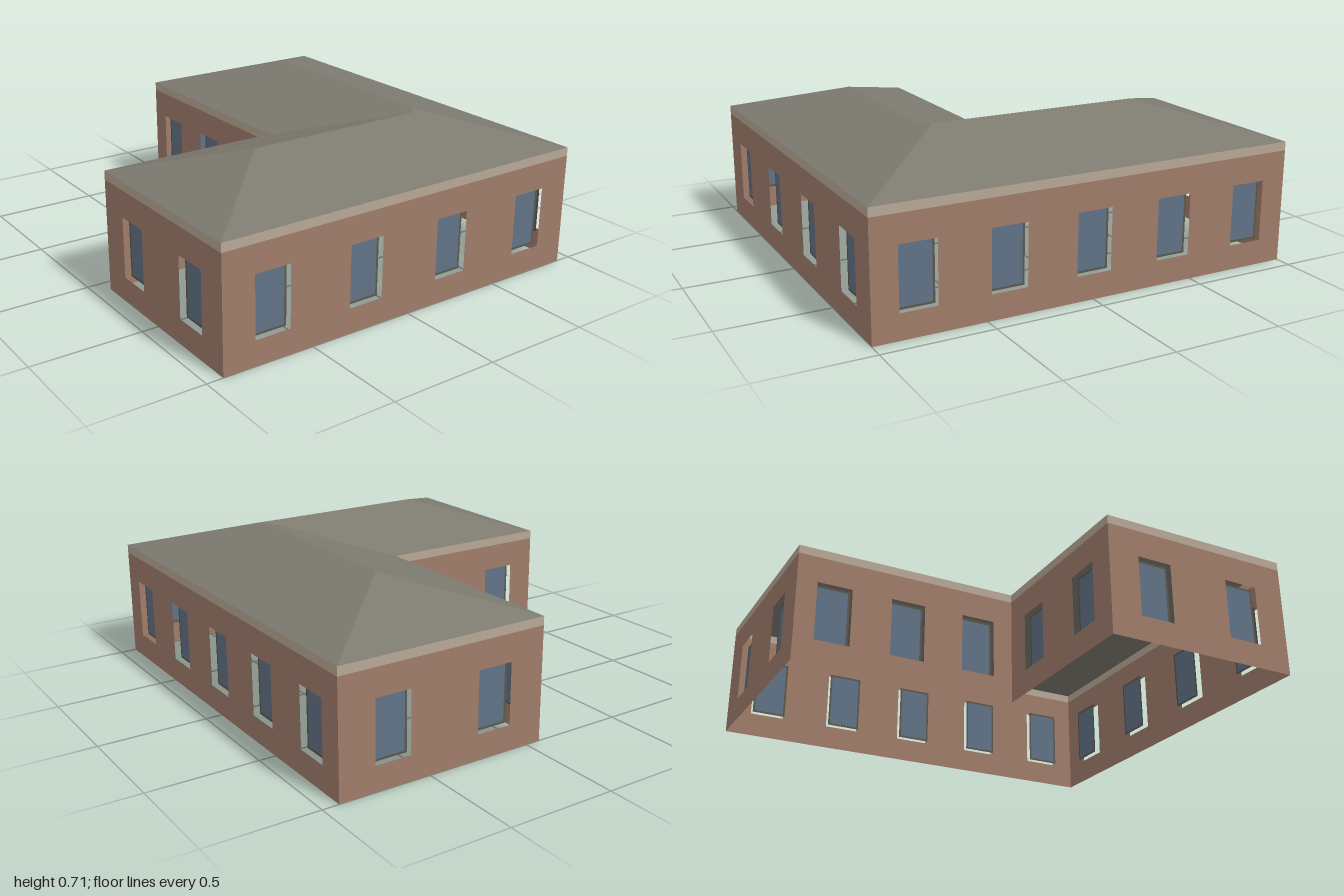
import * as THREE from 'three';

const mat = (name, color) => {
  const m = new THREE.MeshStandardMaterial({ color, side: THREE.DoubleSide });
  m.name = name;
  return m;
};

const WALL_H = 0.52, EAVE = 0.56;
const WIN_W = 0.166, WIN_Y0 = 0.115, WIN_Y1 = 0.395;
const FRAME = 0.01, RECESS = 0.03, PITCH = 0.303;

// L-shaped plan, walked front -> right -> back: [x, z, windows on the wall that starts here]
const PLAN = [
  [-0.925, 1, 4],
  [0.925, 1, 5],
  [0.925, -1, 2],
  [-0.07, -1, 3],
  [-0.07, 0.075, 2],
  [-0.925, 0.075, 2],
];

// Traces a rectangle on a Shape or Path
function rect(path, x0, y0, x1, y1) {
  path.moveTo(x0, y0);
  path.lineTo(x1, y0);
  path.lineTo(x1, y1);
  path.lineTo(x0, y1);
  path.closePath();
  return path;
}

export function createModel() {
  const brick = mat('brick', 0xa07c6a);
  const stone = mat('trim stone', 0xb8a895);
  const slate = mat('roof slate', 0x7d7a70);
  const glass = mat('window glass', 0x617386);
  const dark = mat('window frame', 0x5c584c);

  const model = new THREE.Group();
  model.name = 'building';
  const add = (parent, name, geometry, material) => {
    const mesh = new THREE.Mesh(geometry, material);
    mesh.name = name;
    parent.add(mesh);
    return mesh;
  };

  // Window pane and frame, shared by every opening
  const h = WIN_W / 2;
  const paneGeo = new THREE.ShapeGeometry(
    rect(new THREE.Shape(), -h + FRAME, WIN_Y0 + FRAME, h - FRAME, WIN_Y1 - FRAME));
  const frameShape = rect(new THREE.Shape(), -h, WIN_Y0, h, WIN_Y1);
  frameShape.holes.push(
    rect(new THREE.Path(), -h + FRAME, WIN_Y0 + FRAME, h - FRAME, WIN_Y1 - FRAME));
  const frameGeo = new THREE.ShapeGeometry(frameShape);

  // Thin walls with evenly spaced openings, a trim band on top and recessed windows
  PLAN.forEach(([x0, z0, count], i) => {
    const [x1, z1] = PLAN[(i + 1) % PLAN.length];
    const length = Math.hypot(x1 - x0, z1 - z0);
    const side = new THREE.Group();
    side.name = 'wallSide' + (i + 1);
    side.position.set((x0 + x1) / 2, 0, (z0 + z1) / 2);
    side.rotation.y = Math.atan2(-(z1 - z0), x1 - x0);
    model.add(side);

    const wall = rect(new THREE.Shape(), -length / 2, 0, length / 2, WALL_H);
    for (let k = 0; k < count; k++) {
      const x = ((k + 0.5) / count - 0.5) * length;
      wall.holes.push(rect(new THREE.Path(), x - h, WIN_Y0, x + h, WIN_Y1));
      add(side, 'windowPane', paneGeo, glass).position.set(x, 0, -RECESS);
      add(side, 'windowFrame', frameGeo, dark).position.set(x, 0, -RECESS);
    }
    add(side, 'wall', new THREE.ShapeGeometry(wall), brick);
    add(side, 'trimBand', new THREE.ShapeGeometry(
      rect(new THREE.Shape(), -length / 2, WALL_H, length / 2, EAVE)), stone);
  });

  // Hipped roof: eave corners, then ridge points raised by their distance from the eave
  const [A, B, C, D, E, F] = PLAN.map(([x, z]) => [x, EAVE, z]);
  const raised = (x, z, run) => [x, EAVE + PITCH * run, z];
  const mainHalf = 0.4975, sideHalf = 0.4625;
  const ridgeFront = raised(0.4275, 1 - mainHalf, mainHalf);
  const ridgeBack = raised(0.4275, -1 + mainHalf, mainHalf);
  const sideRidgeEnd = raised(-0.925 + sideHalf, 1 - sideHalf, sideHalf);
  const valleyTop = raised(-0.07 + sideHalf, 1 - sideHalf, sideHalf);

  const slopes = [
    [valleyTop, sideRidgeEnd, A, B, ridgeFront],
    [B, C, ridgeBack, ridgeFront],
    [C, D, ridgeBack],
    [valleyTop, ridgeFront, ridgeBack, D, E],
    [valleyTop, E, F, sideRidgeEnd],
    [F, A, sideRidgeEnd],
  ];
  const points = [];
  for (const s of slopes)
    for (let k = 1; k < s.length - 1; k++) points.push(...s[0], ...s[k], ...s[k + 1]);
  const roof = new THREE.BufferGeometry();
  roof.setAttribute('position', new THREE.Float32BufferAttribute(points, 3));
  roof.computeVertexNormals();
  add(model, 'roof', roof, slate);

  return model;
}
